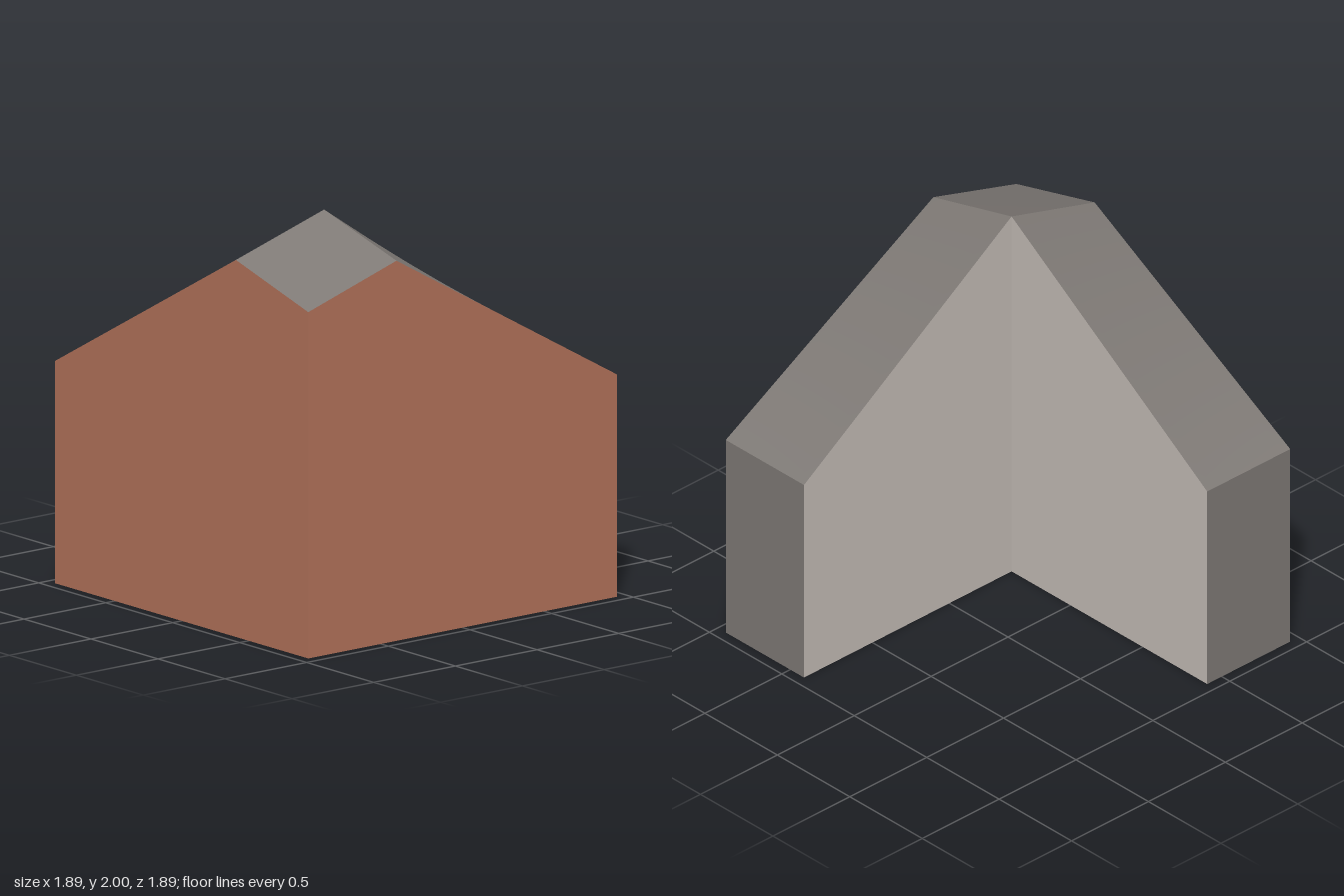
import * as THREE from 'three';
import { mergeGeometries } from 'three/addons/utils/BufferGeometryUtils.js';

const material = (name, color) =>
  new THREE.MeshStandardMaterial({ name, color, side: THREE.DoubleSide });

// Four-cornered sheet, corners counterclockwise from outside; twists smoothly when not flat
function sheet(bl, br, tr, tl, steps = 1) {
  const geometry = new THREE.PlaneGeometry(1, 1, steps, steps);
  const pos = geometry.attributes.position;
  const low = new THREE.Vector3(), high = new THREE.Vector3();
  const [a, b, c, d] = [bl, br, tr, tl].map((p) => new THREE.Vector3(...p));
  for (let i = 0; i < pos.count; i++) {
    const u = pos.getX(i) + 0.5, v = pos.getY(i) + 0.5;
    low.lerpVectors(a, b, u);
    high.lerpVectors(d, c, u);
    low.lerp(high, v);
    pos.setXYZ(i, low.x, low.y, low.z);
  }
  geometry.computeVertexNormals();
  return geometry;
}

export function createModel() {
  const group = new THREE.Group();
  group.name = 'cornerBuilding';

  const brick = material('brick', 0xb2725a);
  const plaster = material('light grey plaster', 0xc2bab4);
  const slate = material('dark grey slate', 0x7e7975);

  const add = (name, mat, ...sheets) => {
    const mesh = new THREE.Mesh(mergeGeometries(sheets), mat);
    mesh.name = name;
    group.add(mesh);
  };

  const e = 0.945;     // outer edge of the L plan
  const p = 0.405;     // inner edge of the L plan
  const eaves = 1.085; // height at the ends of both wings

  // Roof points around the outer corner
  const peak = [p, 2, p];
  const frontPeak = [p, 1.84, e];
  const sidePeak = [e, 1.855, p];
  const corner = [e, 1.69, e];

  // Street walls
  add('frontWall', brick,
    sheet([-e, 0, e], [p, 0, e], frontPeak, [-e, eaves, e]),
    sheet([p, 0, e], [e, 0, e], corner, frontPeak));
  add('leftWall', brick,
    sheet([e, 0, e], [e, 0, p], sidePeak, corner),
    sheet([e, 0, p], [e, 0, -e], [e, eaves, -e], sidePeak));

  // Courtyard walls
  add('courtyardBackWall', plaster,
    sheet([p, 0, p], [-e, 0, p], [-e, eaves, p], peak));
  add('courtyardSideWall', plaster,
    sheet([p, 0, -e], [p, 0, p], peak, [p, eaves, -e]));

  // Wing ends
  add('rightEndWall', slate,
    sheet([-e, 0, p], [-e, 0, e], [-e, eaves, e], [-e, eaves, p]));
  add('backEndWall', slate,
    sheet([e, 0, -e], [p, 0, -e], [p, eaves, -e], [e, eaves, -e]));

  // Roofs
  add('rightWingRoof', slate,
    sheet([-e, eaves, e], frontPeak, peak, [-e, eaves, p], 12));
  add('cornerRoof', slate, sheet(frontPeak, corner, sidePeak, peak));
  add('backWingRoof', slate,
    sheet(peak, sidePeak, [e, eaves, -e], [p, eaves, -e], 12));

  return group;
}
